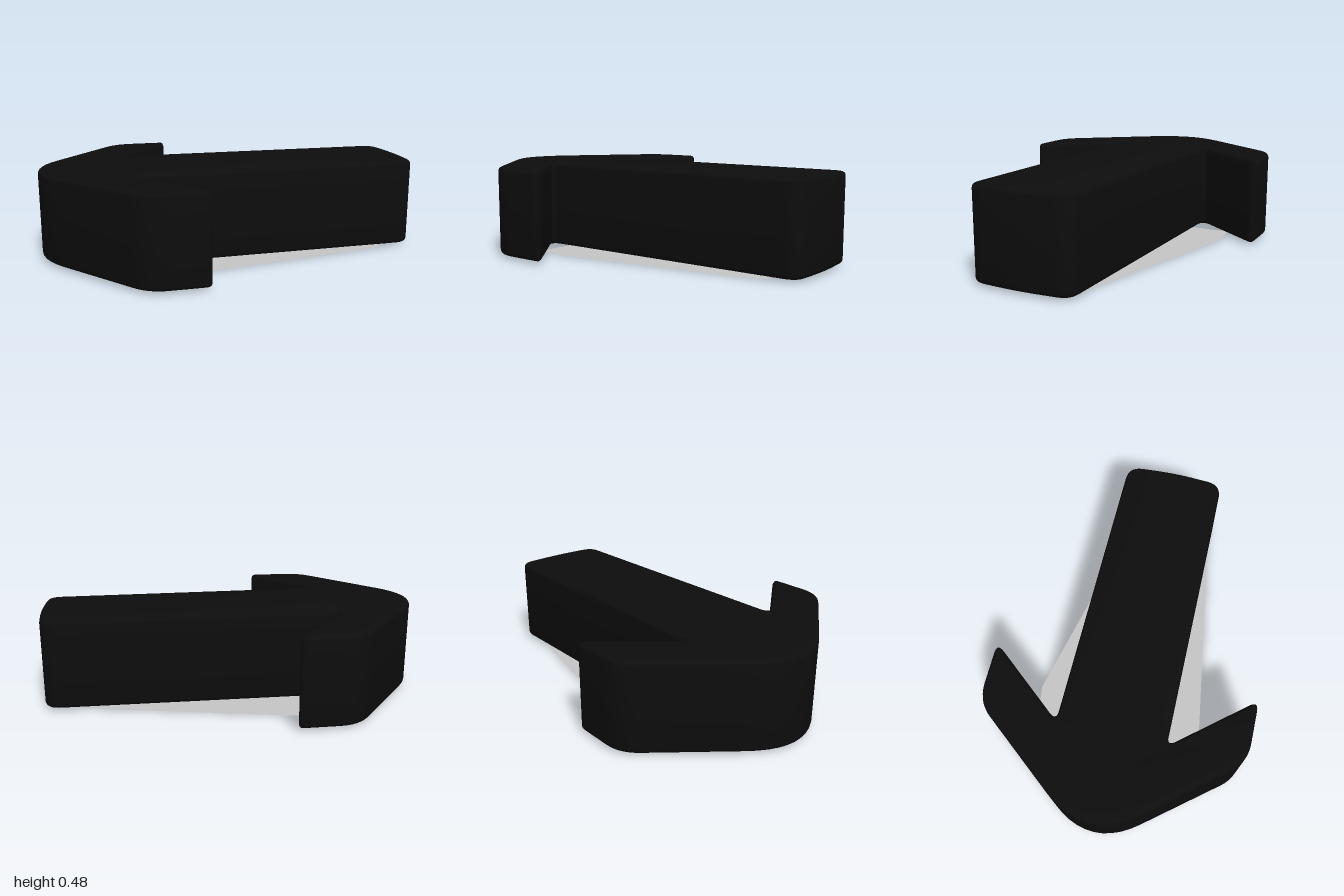
import * as THREE from 'three';
import { toCreasedNormals } from 'three/addons/utils/BufferGeometryUtils.js';

// Closed outline whose corners [x, y, cut] are rounded by quadratic curves
function roundedShape(corners) {
  const shape = new THREE.Shape();
  const n = corners.length;
  const toward = (a, b) => {
    const l = Math.hypot(b[0] - a[0], b[1] - a[1]);
    return [a[0] + (b[0] - a[0]) * a[2] / l, a[1] + (b[1] - a[1]) * a[2] / l];
  };
  corners.forEach((c, i) => {
    const start = toward(c, corners[(i + n - 1) % n]);
    const end = toward(c, corners[(i + 1) % n]);
    if (i === 0) shape.moveTo(...start); else shape.lineTo(...start);
    shape.quadraticCurveTo(c[0], c[1], ...end);
  });
  shape.closePath();
  return shape;
}

export function createModel() {
  const group = new THREE.Group();
  const black = new THREE.MeshStandardMaterial({ color: 0x0d0d0d });
  black.name = 'black';
  const grey = new THREE.MeshStandardMaterial({ color: 0xc6c6c6, side: THREE.DoubleSide });
  grey.name = 'grey';

  // Arrow body: one half of the outline, mirrored across the long axis
  const half = [
    [0.982, 0.268, 0.08],
    [-0.55, 0.283, 0.055],
    [-0.215, 0.69, 0.06],
    [-0.54, 0.69, 0.1],
  ];
  const mirrored = half.map(([x, y, c]) => [x, -y, c]).reverse();
  const outline = roundedShape([[1, 0, 0.12], ...half, [-1.09, 0, 0.3], ...mirrored]);
  const bevel = 0.022, bottom = 0.014, top = 0.475;
  const body = new THREE.ExtrudeGeometry(outline, {
    depth: top - bottom - 2 * bevel, curveSegments: 10,
    bevelSize: bevel, bevelThickness: bevel, bevelOffset: -bevel, bevelSegments: 4,
  });
  body.rotateX(-Math.PI / 2).translate(0, bottom + bevel, 0);
  const arrow = new THREE.Mesh(toCreasedNormals(body, 0.7), black);
  arrow.name = 'arrowBody';
  group.add(arrow);

  // Thin tapered sheet lying under the arrow (z is minus the shape's y)
  const sheet = new THREE.ShapeGeometry(new THREE.Shape([
    [0.82, 0.235], [-0.27, 0.49], [-0.47, 0.465], [-0.48, 0],
    [-0.49, -0.41], [-0.32, -0.44], [0.81, -0.265],
  ].map(([x, y]) => new THREE.Vector2(x, y))));
  sheet.rotateX(-Math.PI / 2);
  const base = new THREE.Mesh(sheet, grey);
  base.name = 'baseSheet';
  group.add(base);

  return group;
}
